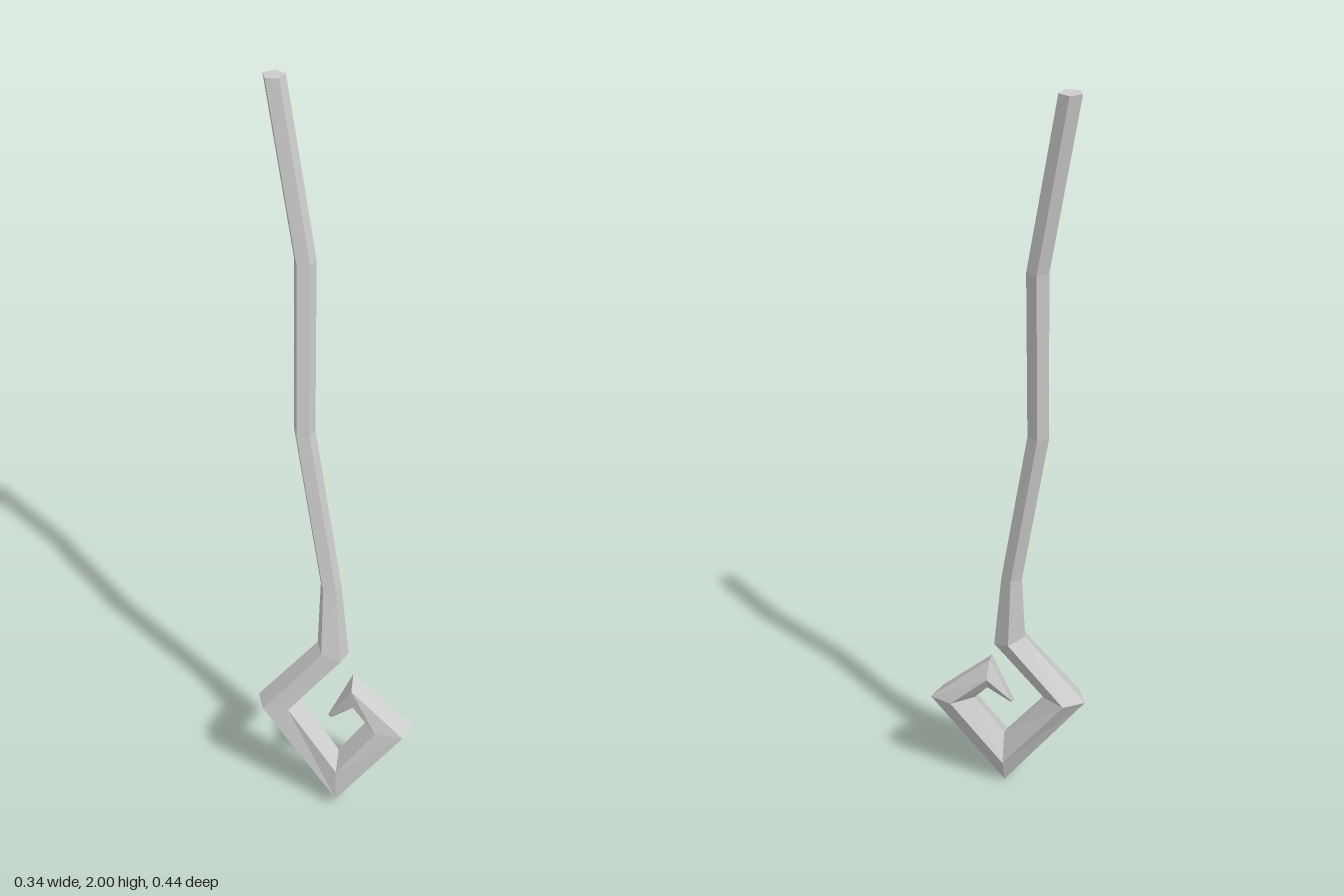
import * as THREE from 'three';

// The hook lies in an upright plane turned about y: D runs along it, N faces out of it.
const D = new THREE.Vector3(0.785, 0, 0.62);
const N = new THREE.Vector3(-0.62, 0, 0.785);
const SIDES = 5;

// Mitred rings from the staff's top to the hook's tip:
// [x, y, z, mitre direction along D, mitre direction along y, mitre radius, depth radius]
const RINGS = [
  [-0.014, 2.0, -0.199, -1, 0, 0.028, 0.028],
  [0.012, 1.565, -0.108, -1, 0, 0.028, 0.028],
  [-0.016, 1.12, -0.067, -1, 0, 0.028, 0.028],
  [0.009, 0.685, 0.021, -1, 0, 0.028, 0.028],
  [0.003, 0.485, 0.042, -0.94, 0.34, 0.046, 0.042],
  [-0.117, 0.305, -0.042, -1, -0.05, 0.058, 0.052],
  [-0.007, 0.08, 0.09, 0, -1, 0.084, 0.052],
  [0.109, 0.268, 0.168, 1, -0.08, 0.063, 0.05],
  [0.041, 0.365, 0.09, -0.08, 1, 0.047, 0.046],
  [-0.01, 0.272, 0.055, -0.85, 0.5, 0.007, 0.005],
];

function sweep(rings) {
  const positions = [];
  const index = [];
  for (const [x, y, z, ud, uy, ru, rn] of rings) {
    const u = D.clone().multiplyScalar(ud).setY(uy).normalize();
    for (let k = 0; k < SIDES; k++) {
      const a = THREE.MathUtils.degToRad(54 + (360 / SIDES) * k);
      const p = new THREE.Vector3(x, y, z)
        .addScaledVector(u, Math.cos(a) * ru)
        .addScaledVector(N, Math.sin(a) * rn);
      positions.push(p.x, p.y, p.z);
    }
  }
  // Side walls
  for (let i = 0; i < rings.length - 1; i++) {
    for (let k = 0; k < SIDES; k++) {
      const a = i * SIDES + k;
      const b = i * SIDES + ((k + 1) % SIDES);
      index.push(a, a + SIDES, b, b, a + SIDES, b + SIDES);
    }
  }
  // End caps
  const last = (rings.length - 1) * SIDES;
  for (let k = 1; k < SIDES - 1; k++) {
    index.push(0, k, k + 1);
    index.push(last, last + k + 1, last + k);
  }
  const indexed = new THREE.BufferGeometry();
  indexed.setAttribute('position', new THREE.Float32BufferAttribute(positions, 3));
  indexed.setIndex(index);
  const geometry = indexed.toNonIndexed();
  geometry.computeVertexNormals();
  return geometry;
}

export function createModel() {
  const group = new THREE.Group();
  group.name = 'crookedStaff';
  const material = new THREE.MeshStandardMaterial({ color: 0xcccccc, flatShading: true });

  // Crooked shaft running into the angular spiral hook
  const staff = new THREE.Mesh(sweep(RINGS), material);
  staff.name = 'shaftAndHook';
  group.add(staff);
  return group;
}
